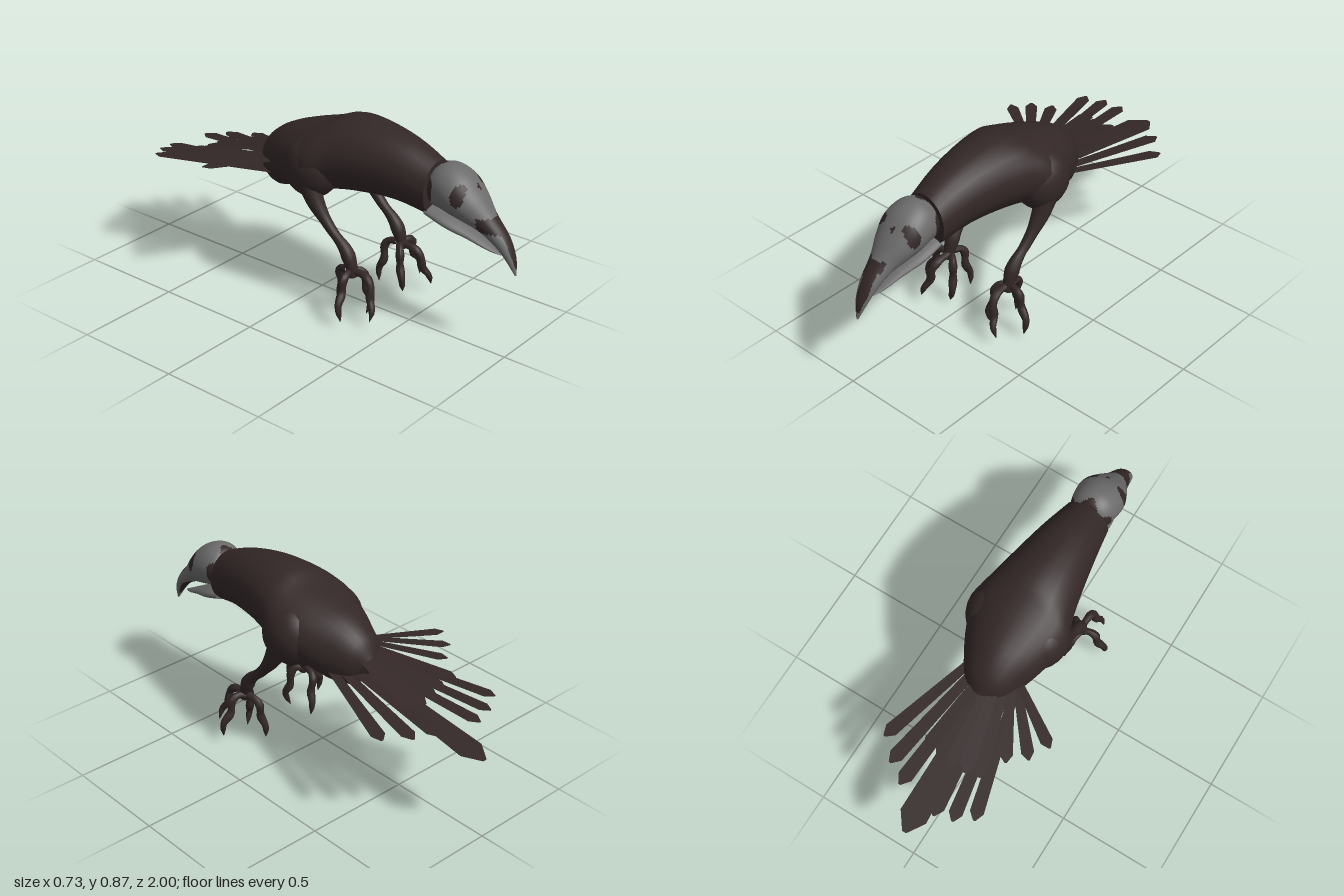
import * as THREE from 'three';

const CX = 0.055; // the bird's own middle line
const plumage = new THREE.MeshStandardMaterial({ color: 0x332727 });
plumage.name = 'dark plumage';
const bone = new THREE.MeshStandardMaterial({ color: 0x6a6a6a });
bone.name = 'grey bone';
const feather = new THREE.MeshStandardMaterial({ color: 0x332727, side: THREE.DoubleSide });
feather.name = 'tail feather';

// Skin over oval sections, back to front: [topZ, topY, bottomZ, bottomY, halfWidth, centreX].
// isDark(point) sorts each face into the second material group.
function loft(sections, rows, sides, isDark = () => false) {
  const top = new THREE.CatmullRomCurve3(sections.map(s => new THREE.Vector3(s[5] ?? CX, s[1], s[0])));
  const bottom = new THREE.CatmullRomCurve3(sections.map(s => new THREE.Vector3(s[4], s[3], s[2])));
  const points = [];
  const rings = [];
  for (let i = 0; i <= rows; i++) {
    const t = top.getPoint(i / rows), b = bottom.getPoint(i / rows);
    const ring = [];
    for (let j = 0; j < sides; j++) {
      const a = (j / sides) * Math.PI * 2, k = (1 + Math.sin(a)) / 2;
      ring.push(points.length);
      points.push(new THREE.Vector3(
        t.x + Math.max(b.x, 0.002) * Math.cos(a),
        b.y + (t.y - b.y) * k,
        b.z + (t.z - b.z) * k));
    }
    rings.push(ring);
  }
  const light = [], dark = [];
  for (let i = 0; i < rows; i++) {
    for (let j = 0; j < sides; j++) {
      const n = (j + 1) % sides;
      const a = rings[i][j], b = rings[i][n], c = rings[i + 1][j], d = rings[i + 1][n];
      const middle = points[a].clone().add(points[d]).multiplyScalar(0.5);
      (isDark(middle) ? dark : light).push(a, b, c, b, d, c);
    }
  }
  // End caps with their own vertices for a crisp rim
  for (const [ring, front] of [[rings[0], false], [rings[rows], true]]) {
    const base = points.length;
    const centre = new THREE.Vector3();
    ring.forEach(k => { points.push(points[k].clone()); centre.addScaledVector(points[k], 1 / sides); });
    points.push(centre);
    const list = isDark(centre) ? dark : light;
    for (let j = 0; j < sides; j++) {
      const a = base + j, b = base + (j + 1) % sides;
      list.push(base + sides, front ? a : b, front ? b : a);
    }
  }
  const g = new THREE.BufferGeometry().setFromPoints(points);
  g.setIndex([...light, ...dark]);
  g.addGroup(0, light.length, 0);
  g.addGroup(light.length, dark.length, 1);
  g.computeVertexNormals();
  return g;
}

// Tube whose radius follows a list of values along its length
function limb(points, radii, rows = 20, sides = 9) {
  const curve = new THREE.CatmullRomCurve3(points.map(p => new THREE.Vector3(...p)));
  const g = new THREE.TubeGeometry(curve, rows, 1, sides);
  const p = g.attributes.position, v = new THREE.Vector3();
  for (let i = 0; i <= rows; i++) {
    const centre = curve.getPointAt(i / rows);
    const f = (i / rows) * (radii.length - 1), k = Math.min(Math.floor(f), radii.length - 2);
    const r = THREE.MathUtils.lerp(radii[k], radii[k + 1], f - k);
    for (let j = 0; j <= sides; j++) {
      const n = i * (sides + 1) + j;
      v.fromBufferAttribute(p, n).sub(centre).multiplyScalar(r).add(centre);
      p.setXYZ(n, v.x, v.y, v.z);
    }
  }
  g.computeVertexNormals();
  return g;
}

// Flat blade from base to tip with a pointed end
function blade(base, tip, width) {
  const a = new THREE.Vector3(...base), b = new THREE.Vector3(...tip);
  const along = b.clone().sub(a);
  const across = new THREE.Vector3(-along.z, 0, along.x).normalize();
  const reach = 1 - (width * 0.6) / along.length();
  const at = (t, w) => a.clone().addScaledVector(along, t).addScaledVector(across, w * width);
  const g = new THREE.BufferGeometry().setFromPoints(
    [at(0, -0.3), at(0, 0.3), at(reach, 0.5), at(1, 0.08), at(1, -0.08), at(reach, -0.5)]);
  g.setIndex([0, 1, 2, 0, 2, 5, 5, 2, 3, 5, 3, 4]);
  g.computeVertexNormals();
  return g;
}

export function createModel() {
  const bird = new THREE.Group();
  bird.name = 'bird';
  const add = (name, geometry, material, parent = bird) => {
    const mesh = new THREE.Mesh(geometry, material);
    mesh.name = name;
    parent.add(mesh);
    return mesh;
  };

  // Body from rump to open end of the neck
  add('body', loft([
    [-0.355, 0.61, -0.35, 0.57, 0.03, 0.04],
    [-0.31, 0.69, -0.30, 0.475, 0.10, 0.04],
    [-0.22, 0.755, -0.24, 0.45, 0.145, 0.045],
    [-0.10, 0.80, -0.12, 0.485, 0.20, 0.05],
    [0.03, 0.84, 0.02, 0.505, 0.235, 0.05],
    [0.12, 0.875, 0.12, 0.53, 0.205],
    [0.25, 0.88, 0.25, 0.55, 0.175],
    [0.44, 0.845, 0.42, 0.56, 0.14],
    [0.59, 0.785, 0.59, 0.535, 0.11],
  ], 32, 24), [plumage, plumage]);

  // Skull with dark nape, eye sockets, forehead mark and beak ridge
  const skullDark = p => {
    const x = p.x - CX;
    const nape = p.z < 0.612 + 0.02 * Math.cos(x * 55) && p.y > 0.6;
    const socket = Math.hypot((p.z - 0.75) / 0.026, (p.y - 0.695) / 0.045) < 1 && Math.abs(x) > 0.045;
    const mark = Math.hypot(x - 0.015, p.y - 0.72) < 0.01 && p.z > 0.7;
    const ridge = p.z > 0.83 && p.y > 0.41 && p.y < 0.61
      && x < (p.y > 0.57 ? 0.045 : 0.034) * Math.min(1, (p.y - 0.37) / 0.12)
      && x > (p.y > 0.55 ? -0.07 : -0.02 * Math.min(1, (p.y - 0.38) / 0.1));
    return nape || socket || mark || ridge;
  };
  add('skull', loft([
    [0.585, 0.75, 0.585, 0.62, 0.07],
    [0.605, 0.78, 0.60, 0.59, 0.095],
    [0.66, 0.795, 0.64, 0.585, 0.108],
    [0.74, 0.765, 0.69, 0.575, 0.113],
    [0.805, 0.70, 0.75, 0.56, 0.095],
    [0.87, 0.62, 0.82, 0.535, 0.062],
    [0.95, 0.53, 0.90, 0.49, 0.044],
    [0.988, 0.45, 0.955, 0.435, 0.028],
    [1.0, 0.378, 0.995, 0.375, 0.005],
  ], 72, 64, skullDark), [bone, plumage]);

  // Lower jaw
  add('lowerJaw', loft([
    [0.58, 0.60, 0.58, 0.545, 0.088],
    [0.68, 0.57, 0.68, 0.512, 0.085],
    [0.78, 0.525, 0.78, 0.485, 0.056],
    [0.87, 0.478, 0.87, 0.457, 0.03],
    [0.92, 0.452, 0.92, 0.447, 0.006],
  ], 20, 24), [bone, plumage]);

  // Legs and feet; x is measured outwards from the middle line
  const toes = {
    outerToe: [[0.18, 0.22, 0.26], [0.215, 0.23, 0.275], [0.25, 0.215, 0.28], [0.263, 0.15, 0.28], [0.298, 0.105, 0.29], [0.294, 0.03, 0.3]],
    frontToe: [[0.175, 0.23, 0.28], [0.178, 0.22, 0.35], [0.185, 0.19, 0.38], [0.195, 0.13, 0.385], [0.212, 0.09, 0.41], [0.23, 0.04, 0.41]],
    innerToe: [[0.175, 0.22, 0.27], [0.145, 0.225, 0.29], [0.128, 0.195, 0.305], [0.125, 0.13, 0.31], [0.112, 0.08, 0.33], [0.135, 0.01, 0.32]],
    backToe: [[0.18, 0.23, 0.25], [0.172, 0.22, 0.21], [0.165, 0.195, 0.19], [0.155, 0.13, 0.195], [0.145, 0.08, 0.175], [0.14, 0.015, 0.18]],
  };
  for (const [side, s] of [['left', 1], ['right', -1]]) {
    const leg = new THREE.Group();
    leg.name = side + 'Leg';
    bird.add(leg);
    const place = path => path.map(([x, y, z]) => [CX + s * x, y, z]);

    const thigh = add(side + 'Thigh', new THREE.SphereGeometry(1, 20, 14), plumage, leg);
    thigh.scale.set(0.11, 0.14, 0.14);
    thigh.position.set(CX + s * 0.135, 0.64, 0.005);

    add(side + 'Shank', limb(
      place([[0.18, 0.60, 0.02], [0.183, 0.50, 0.07], [0.181, 0.40, 0.15], [0.18, 0.32, 0.235], [0.18, 0.26, 0.265], [0.18, 0.20, 0.28]]),
      [0.055, 0.042, 0.027, 0.022, 0.034, 0.02], 24, 12), plumage, leg);

    for (const [name, path] of Object.entries(toes)) {
      add(name, limb(place(path), [0.018, 0.016, 0.021, 0.016, 0.021, 0.016, 0.013, 0.001]), plumage, leg);
    }
  }

  // Tail fan: [tipX, tipY, tipZ, width]
  const tail = new THREE.Group();
  tail.name = 'tail';
  bird.add(tail);
  const fan = (name, baseY, baseZ, spread, tips) => tips.forEach(([x, y, z, w]) =>
    add(name, blade([0.04 + (x - 0.04) * spread, baseY, baseZ], [x, y, z], w), feather, tail));
  fan('longFeather', 0.55, -0.2, 0.4, [
    [-0.235, 0.525, -0.82, 0.062], [-0.155, 0.512, -0.87, 0.062], [-0.07, 0.5, -0.89, 0.065],
    [0.13, 0.5, -0.85, 0.07], [0.22, 0.495, -0.79, 0.068], [0.31, 0.485, -0.7, 0.065],
  ]);
  fan('middleFeather', 0.535, -0.25, 0.4, [[0.015, 0.405, -1.0, 0.13]]);
  fan('upperFeather', 0.61, -0.22, 0.33, [
    [-0.355, 0.615, -0.4, 0.056], [-0.305, 0.605, -0.49, 0.056], [-0.225, 0.595, -0.55, 0.058], [-0.16, 0.575, -0.66, 0.06],
  ]);
  fan('coverFeather', 0.62, -0.3, 0.4, [
    [-0.09, 0.55, -0.67, 0.07], [-0.025, 0.54, -0.68, 0.07], [0.04, 0.535, -0.68, 0.07], [0.11, 0.54, -0.67, 0.07],
  ]);

  return bird;
}
